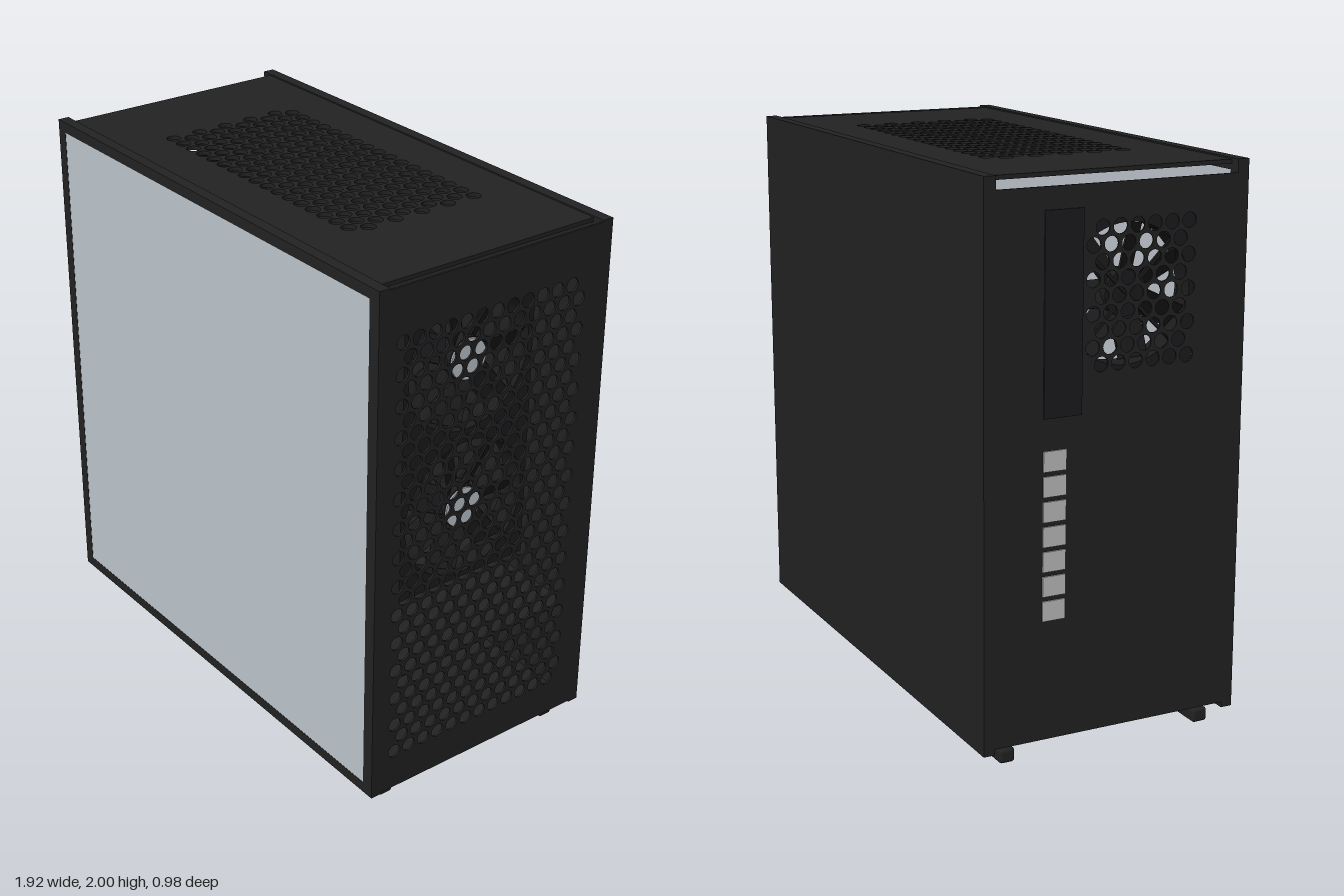
import * as THREE from 'three';
import { RoundedBoxGeometry } from 'three/addons/geometries/RoundedBoxGeometry.js';

const shell = new THREE.MeshStandardMaterial({ name: 'shellBlack', color: 0x222222 });
const fanBlack = new THREE.MeshStandardMaterial({ name: 'fanBlack', color: 0x1c1c1e });
const glass = new THREE.MeshStandardMaterial({ name: 'paleGlass', color: 0xbec6cd });
const silver = new THREE.MeshStandardMaterial({ name: 'slotSilver', color: 0xc0c0c0 });

const PITCH = 0.065, ROW = 0.0564;

function add(parent, name, geometry, material, x = 0, y = 0, z = 0) {
  const mesh = new THREE.Mesh(geometry, material);
  mesh.name = name;
  mesh.position.set(x, y, z);
  parent.add(mesh);
  return mesh;
}

function box(parent, name, material, x0, x1, y0, y1, z0, z1) {
  return add(parent, name, new THREE.BoxGeometry(x1 - x0, y1 - y0, z1 - z0), material,
    (x0 + x1) / 2, (y0 + y1) / 2, (z0 + z1) / 2);
}

function rect(x0, x1, y0, y1, Type = THREE.Shape) {
  return new Type([[x0, y0], [x1, y0], [x1, y1], [x0, y1]].map(p => new THREE.Vector2(...p)));
}

// Staggered rows of round vent holes
function punch(shape, x0, y0, columns, rows, radius = 0.026) {
  for (let r = 0; r < rows; r++) {
    for (let c = 0; c < columns; c++) {
      const x = x0 + (c + (r % 2) / 2) * PITCH;
      const hole = new THREE.Path();
      hole.absarc(x, y0 + r * ROW, radius, 0, Math.PI * 2, true);
      shape.holes.push(hole);
    }
  }
  return shape;
}

function extrude(shape, depth, curveSegments = 10) {
  return new THREE.ExtrudeGeometry(shape, { depth, bevelEnabled: false, curveSegments });
}

// Fan with its axis on local z, turned so the pale hub cap faces +x
function makeFan(name, size, x, y, z) {
  const fan = new THREE.Group();
  fan.name = name;
  const h = size / 2, depth = 0.09, bore = h * 0.93;
  const frame = rect(-h, h, -h, h);
  const opening = new THREE.Path();
  opening.absarc(0, 0, bore, 0, Math.PI * 2, true);
  frame.holes.push(opening);
  add(fan, 'fanFrame', extrude(frame, depth, 40), fanBlack, 0, 0, -depth / 2);
  const hub = new THREE.CylinderGeometry(0.078, 0.078, 0.07, 32).rotateX(Math.PI / 2);
  add(fan, 'fanHub', hub, fanBlack);
  const cap = new THREE.CylinderGeometry(0.074, 0.074, 0.006, 32).rotateX(Math.PI / 2);
  add(fan, 'hubCap', cap, glass, 0, 0, 0.038);
  for (let i = 0; i < 7; i++) {
    const length = bore - 0.075;
    const blade = new THREE.BoxGeometry(length, 0.1, 0.006)
      .rotateX(0.6).translate(0.07 + length / 2, 0, 0);
    add(fan, 'fanBlade', blade, fanBlack).rotation.z = i / 7 * Math.PI * 2;
  }
  // Rear struts
  for (let i = 0; i < 4; i++) {
    const strut = new THREE.BoxGeometry(bore, 0.012, 0.01).translate(bore / 2, 0, -0.04);
    add(fan, 'fanStrut', strut, fanBlack).rotation.z = (i + 0.5) * Math.PI / 2;
  }
  fan.rotation.y = Math.PI / 2;
  fan.position.set(x, y, z);
  return fan;
}

export function createModel() {
  const model = new THREE.Group();
  model.name = 'computerCase';

  // Glass side: frame and pane
  const frame = rect(-0.96, 0.96, 0.06, 2);
  frame.holes.push(rect(-0.915, 0.912, 0.1, 1.96, THREE.Path));
  add(model, 'glassFrame', extrude(frame, 0.042), shell, 0, 0, 0.446);
  box(model, 'glassPane', glass, -0.915, 0.912, 0.1, 1.96, 0.475, 0.487);

  // Solid side and floor
  box(model, 'solidSidePanel', shell, -0.96, 0.96, 0.06, 2, -0.49, -0.448);
  box(model, 'floorPanel', shell, -0.92, 0.912, 0.065, 0.085, -0.45, 0.448);

  // Perforated top
  const top = punch(rect(-0.92, 0.912, -0.447, 0.45), -0.543, -0.25, 17, 10);
  add(model, 'topPanel', extrude(top, 0.015), shell, 0, 1.98, 0).rotation.x = -Math.PI / 2;

  // Perforated intake panel on the +x end
  const intake = punch(rect(-0.447, 0.449, 0.066, 1.994), -0.39, 0.222, 12, 29);
  add(model, 'intakePanel', extrude(intake, 0.008), shell, 0.952, 0, 0).rotation.y = Math.PI / 2;

  // Rear plate on the -x end with a vent
  const rear = punch(rect(-0.447, 0.449, 0.08, 1.955), -0.262, 1.36, 6, 9);
  add(model, 'rearPlate', extrude(rear, 0.006), shell, -0.96, 0, 0).rotation.y = Math.PI / 2;
  box(model, 'connectorPlate', fanBlack, -0.965, -0.959, 1.2, 1.88, -0.275, -0.135);
  for (let i = 0; i < 7; i++) {
    const y = 0.505 + i * 0.086;
    box(model, 'slotCover', silver, -0.965, -0.959, y, y + 0.07, -0.275, -0.19);
  }

  // Shelf over the power supply bay
  box(model, 'powerShelf', shell, -0.95, 0.9, 0.47, 0.485, -0.448, 0.446);

  // Fans
  model.add(makeFan('upperIntakeFan', 0.55, 0.855, 1.62, 0.06));
  model.add(makeFan('lowerIntakeFan', 0.55, 0.855, 1.06, 0.06));
  model.add(makeFan('exhaustFan', 0.51, -0.89, 1.58, 0.045));

  // Feet
  for (const x of [-0.835, 0.828]) {
    for (const z of [-0.38, 0.385]) {
      add(model, 'foot', new RoundedBoxGeometry(0.17, 0.052, 0.058, 3, 0.012), shell, x, 0.026, z);
      box(model, 'footMount', shell, x - 0.06, x + 0.06, 0.045, 0.07, z - 0.018, z + 0.018);
    }
  }
  return model;
}
